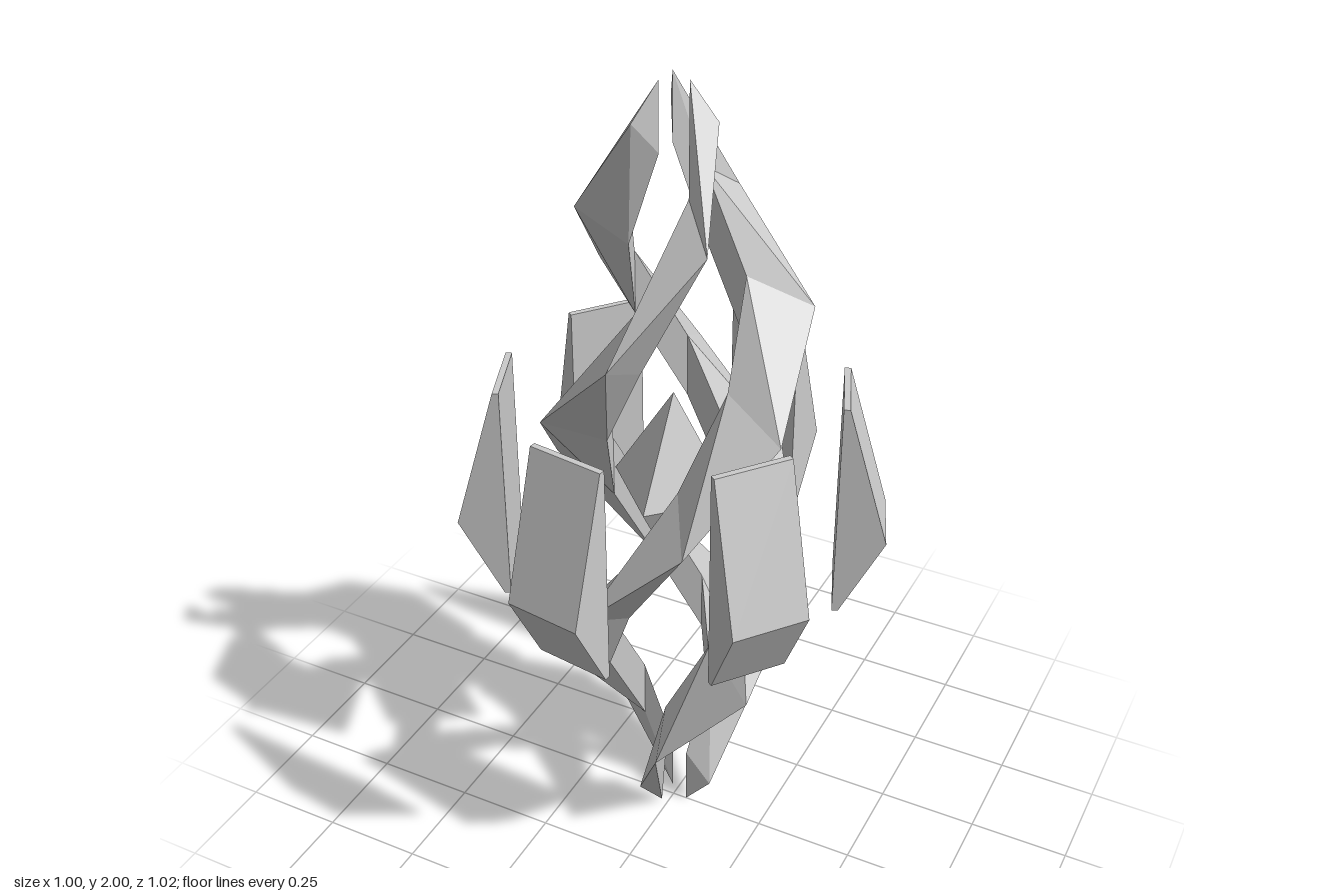
import * as THREE from 'three';

const material = new THREE.MeshStandardMaterial({ color: 0xcccccc, flatShading: true });

// Three-sided strand winding once around the axis from top to bottom
function strandGeometry() {
  const outer = [0.105, 0.22, 0.315], inner = [0.037, 0.1, 0.16];
  const steps = 8, half = 0.08, pos = [], index = [];
  for (let i = 0; i <= steps; i++) {
    const k = Math.min(i, steps - i, 2);
    const a = (i / steps) * Math.PI * 2;
    const y = 1.92 - i * 0.23;
    for (const [r, dy] of [[outer[k], 0], [inner[k], half], [inner[k], -half]]) {
      pos.push(r * Math.cos(a), y + dy, r * Math.sin(a));
    }
  }
  for (let i = 0; i < steps; i++) {
    for (let j = 0; j < 3; j++) {
      const a = i * 3 + j, b = i * 3 + (j + 1) % 3;
      index.push(a, b, a + 3, b, b + 3, a + 3);
    }
  }
  const e = steps * 3;
  index.push(0, 2, 1, e, e + 1, e + 2); // end caps
  const g = new THREE.BufferGeometry();
  g.setAttribute('position', new THREE.Float32BufferAttribute(pos, 3));
  g.setIndex(index);
  const flat = g.toNonIndexed();
  flat.computeVertexNormals();
  return flat;
}

// Wedge-shaped plate: flat inner face, ridge below the middle on the outside
function plateGeometry() {
  const width = 0.187;
  const shape = new THREE.Shape([
    [0.386, 0.72], [0.401, 0.72], [0.503, 0.92], [0.401, 1.28], [0.386, 1.28],
  ].map(([x, y]) => new THREE.Vector2(x, y)));
  const g = new THREE.ExtrudeGeometry(shape, { depth: width, bevelEnabled: false });
  g.translate(0, 0, -width / 2);
  return g;
}

// Copies of one part spaced evenly around the vertical axis
function ring(name, geometry, count, startDegrees) {
  const group = new THREE.Group();
  group.name = name + 's';
  for (let i = 0; i < count; i++) {
    const mesh = new THREE.Mesh(geometry, material);
    mesh.name = name;
    mesh.rotation.y = -THREE.MathUtils.degToRad(startDegrees + (360 / count) * i);
    group.add(mesh);
  }
  return group;
}

export function createModel() {
  const model = new THREE.Group();
  model.name = 'spiralCrystal';

  // Central crystal
  const core = new THREE.Mesh(new THREE.OctahedronGeometry(1), material);
  core.name = 'coreCrystal';
  core.scale.set(0.155, 0.25, 0.155);
  core.position.y = 1;
  model.add(core);

  model.add(ring('spiralStrand', strandGeometry(), 3, 0));
  model.add(ring('floatingPlate', plateGeometry(), 6, 38.3));
  return model;
}
